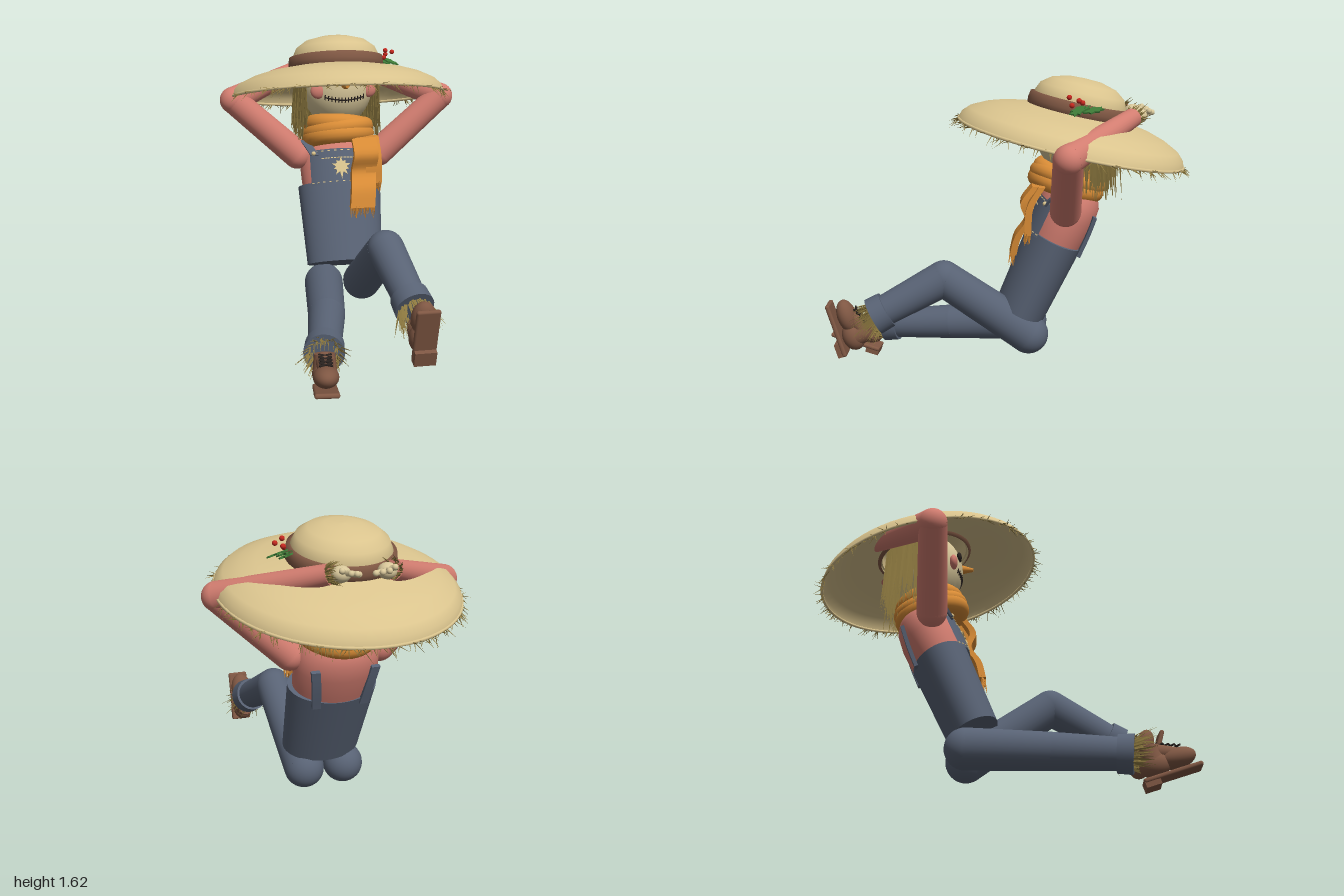
import * as THREE from 'three';
import { RoundedBoxGeometry } from 'three/addons/geometries/RoundedBoxGeometry.js';

const mat = (name, color, side = THREE.FrontSide) => {
  const m = new THREE.MeshStandardMaterial({ color, side });
  m.name = name;
  return m;
};
const V = (x, y, z) => new THREE.Vector3(x, y, z);

export function createModel() {
  const M = {
    hat: mat('hat tan', 0xd9c38d, THREE.DoubleSide), cloth: mat('sack cream', 0xd8c79a),
    shirt: mat('salmon', 0xd27d70), denim: mat('denim', 0x586274, THREE.DoubleSide),
    scarf: mat('scarf orange', 0xd98c36), brown: mat('leather brown', 0x7f5743),
    straw: mat('straw', 0x8c783f, THREE.DoubleSide), dark: mat('black', 0x2a2320),
    green: mat('leaf green', 0x3f7d38, THREE.DoubleSide), red: mat('berry red', 0xc4281f),
  };
  const root = new THREE.Group();
  let seed = 7;
  const rnd = (a = 0, b = 1) => {
    seed = (seed * 16807) % 2147483647;
    return a + (b - a) * seed / 2147483647;
  };

  // Helpers
  const add = (parent, name, geo, material, x = 0, y = 0, z = 0) => {
    const m = new THREE.Mesh(geo, material);
    m.name = name;
    m.position.set(x, y, z);
    parent.add(m);
    return m;
  };
  const group = (parent, name, x = 0, y = 0, z = 0, rx = 0, ry = 0) => {
    const g = new THREE.Group();
    g.name = name;
    g.position.set(x, y, z);
    g.rotation.set(rx, ry, 0, 'YXZ');
    parent.add(g);
    return g;
  };
  const ball = (parent, name, r, material, p, sx = 1, sy = 1, sz = 1) =>
    add(parent, name, new THREE.SphereGeometry(r, 28, 20), material, p.x, p.y, p.z).scale.set(sx, sy, sz);
  const rod = (parent, name, a, b, ra, rb, material, seg = 28) => {
    const d = b.clone().sub(a), c = a.clone().add(b).multiplyScalar(0.5);
    const m = add(parent, name, new THREE.CylinderGeometry(rb, ra, d.length(), seg), material, c.x, c.y, c.z);
    m.quaternion.setFromUnitVectors(V(0, 1, 0), d.normalize());
    return m;
  };
  const lathe = (parent, name, pts, material) =>
    add(parent, name, new THREE.LatheGeometry(pts.map(p => new THREE.Vector2(...p)), 64), material);
  // Flat strip following a path
  const ribbon = (parent, name, pts, w, t, material) => {
    const curve = new THREE.CatmullRomCurve3(pts), geo = new THREE.BoxGeometry(w, 1, t, 4, 18, 1);
    const p = geo.attributes.position;
    for (let i = 0; i < p.count; i++) {
      const c = curve.getPoint(0.5 - p.getY(i));
      p.setXYZ(i, p.getX(i) + c.x, c.y, p.getZ(i) + c.z);
    }
    geo.computeVertexNormals();
    return add(parent, name, geo, material);
  };
  // Many thin three-sided spikes in one mesh
  const strands = (parent, name, list, w, material) => {
    const out = [];
    for (const [a, b] of list) {
      const d = b.clone().sub(a).normalize();
      const u = V(d.y, d.z, d.x).cross(d).normalize().multiplyScalar(w), v = d.clone().cross(u);
      const ring = [0, 1, 2].map(k => a.clone().addScaledVector(u, Math.cos(k * 2.094)).addScaledVector(v, Math.sin(k * 2.094)));
      for (let k = 0; k < 3; k++) out.push(...ring[k].toArray(), ...ring[(k + 1) % 3].toArray(), ...b.toArray());
    }
    const geo = new THREE.BufferGeometry();
    geo.setAttribute('position', new THREE.Float32BufferAttribute(out, 3));
    geo.computeVertexNormals();
    return add(parent, name, geo, material);
  };
  const tuft = (parent, name, c, dir, r, len, n) => {
    const d = dir.clone().normalize(), u = V(0, 1, 0).cross(d).normalize(), v = d.clone().cross(u), list = [];
    for (let i = 0; i < n; i++) {
      const a = rnd(0, 6.283), o = u.clone().multiplyScalar(Math.cos(a)).addScaledVector(v, Math.sin(a));
      const s = c.clone().addScaledVector(o, r * rnd(0.7, 1)), l = len * rnd(0.5, 1.1);
      list.push([s, s.clone().addScaledVector(d, l).addScaledVector(o, l * rnd(-0.2, 0.6))]);
    }
    strands(parent, name, list, 0.005, M.straw);
  };

  // Body, leaning back
  const body = group(root, 'body', 0, 0.39, -0.1, -0.42);
  add(body, 'trousers', new THREE.CylinderGeometry(0.235, 0.21, 0.44, 48), M.denim, 0, 0.2, 0).scale.z = 0.66;
  lathe(body, 'torso', [[0.2, 0.35], [0.212, 0.45], [0.218, 0.56], [0.205, 0.65], [0.15, 0.72], [0.001, 0.75]], M.shirt).scale.z = 0.73;
  const panel = (name, r, y0, y1, mid, half) => {
    const g = new THREE.CylinderGeometry(r, r, y1 - y0, 20, 1, true, mid - half, half * 2);
    add(body, name, g, M.denim, 0, (y0 + y1) / 2, 0).scale.z = 0.735;
  };
  panel('bib', 0.224, 0.4, 0.6, 0, 0.88);
  panel('bibPocket', 0.229, 0.425, 0.555, -0.1, 0.42);
  const stitches = (y, mid, half, r) => {
    for (let i = -5; i <= 5; i++) {
      const a = mid + half * i / 5;
      const m = add(body, 'bibStitch', new THREE.BoxGeometry(0.013, 0.005, 0.004), M.hat, r * Math.sin(a), y, r * 0.735 * Math.cos(a));
      m.rotation.y = a;
    }
  };
  stitches(0.415, 0, 0.82, 0.226);
  stitches(0.59, 0, 0.82, 0.226);
  stitches(0.547, -0.1, 0.38, 0.231);
  // Leaf patch
  const leaf = new THREE.Shape();
  for (let i = 0; i < 20; i++) {
    const a = i * Math.PI / 10 + Math.PI / 2, r = i === 10 ? 0.07 : i % 4 === 0 ? 0.056 : i % 2 ? 0.03 : 0.045;
    leaf[i ? 'lineTo' : 'moveTo'](Math.cos(a) * r, Math.sin(a) * r);
  }
  add(body, 'leafPatch', new THREE.ExtrudeGeometry(leaf, { depth: 0.006, bevelEnabled: false }), M.hat, -0.01, 0.495, 0.168);
  for (const s of [-1, 1]) {
    ribbon(body, 'frontStrap', [V(s * 0.2, 0.67, 0.09), V(s * 0.18, 0.63, 0.12), V(s * 0.15, 0.57, 0.135)], 0.045, 0.012, M.denim);
    ball(body, 'strapButton', 0.012, M.hat, V(s * 0.155, 0.58, 0.14));
    ribbon(body, 'backStrap', [V(s * 0.155, 0.62, -0.125), V(s * 0.14, 0.52, -0.135), V(s * 0.125, 0.39, -0.14)], 0.045, 0.02, M.denim);
  }

  // Head and face
  const H = V(0, 1.33, -0.36), R = V(0.2, 0.22, 0.2);
  ball(root, 'head', 1, M.cloth, H, R.x, R.y, R.z);
  const face = (x, y, off = 0) => V(x, y, H.z + off + R.z * Math.sqrt(Math.max(0, 1 - ((x - H.x) / R.x) ** 2 - ((y - H.y) / R.y) ** 2)));
  for (const s of [-1, 1]) {
    ball(root, 'buttonEye', 0.03, M.dark, face(0.016 + s * 0.088, 1.385), 1, 1, 0.5);
    ball(root, 'cheek', 0.042, M.shirt, face(0.016 + s * 0.143, 1.322, -0.003), 1, 1, 0.55);
  }
  rod(root, 'nose', face(0.017, 1.36, -0.01), face(0.017, 1.358, 0.06), 0.027, 0.01, M.scarf);
  const mouthY = x => 1.275 + 1.2 * x * x, smile = [];
  for (let i = -6; i <= 6; i++) {
    const x = i * 0.018;
    smile.push(face(x + 0.016, mouthY(x), 0.002));
    rod(root, 'mouthStitch', face(x + 0.016, mouthY(x) - 0.014, 0.003), face(x + 0.016, mouthY(x) + 0.014, 0.003), 0.003, 0.003, M.dark, 6);
  }
  add(root, 'mouth', new THREE.TubeGeometry(new THREE.CatmullRomCurve3(smile), 24, 0.004, 6), M.dark);

  // Straw hair round the sides and back
  const hair = [];
  for (const s of [-1, 1]) for (let i = 0; i < 230; i++) {
    const a = rnd(-0.45, 1.3), r = rnd(0.2, 0.235), r2 = r + rnd(-0.02, 0.035);
    hair.push([V(s * r * Math.cos(a), rnd(1.36, 1.43), -0.36 - r * Math.sin(a)),
      V(s * r2 * Math.cos(a + rnd(-0.1, 0.1)), rnd(0.98, 1.13), -0.36 - r2 * Math.sin(a))]);
  }
  strands(root, 'strawHair', hair, 0.011, M.straw);

  // Scarf
  const scarf = group(root, 'scarf', 0, 1.075, -0.33, -0.27);
  for (const [y, r, t, tilt] of [[-0.025, 0.155, 0.052, 0.05], [0.035, 0.145, 0.05, -0.08], [0.01, 0.16, 0.046, 0.12]]) {
    const m = add(scarf, 'scarfWrap', new THREE.TorusGeometry(r, t, 16, 48), M.scarf, 0, y, 0);
    m.rotation.set(Math.PI / 2, tilt, 0);
  }
  const tail = (name, pts, w) => {
    ribbon(root, name, pts, w, 0.035, M.scarf);
    const e = pts[pts.length - 1], list = [];
    for (let i = 0; i < 16; i++) {
      const p = V(e.x + w * (i / 15 - 0.5) * 0.95, e.y + 0.01, e.z + rnd(-0.012, 0.012));
      list.push([p, p.clone().add(V(rnd(-0.01, 0.01), rnd(-0.08, -0.055), rnd(-0.005, 0.02)))]);
    }
    strands(root, name + 'Fringe', list, 0.007, M.scarf);
  };
  tail('longTail', [V(0.115, 1.07, -0.16), V(0.12, 0.98, -0.1), V(0.11, 0.89, -0.125), V(0.1, 0.8, -0.07), V(0.09, 0.7, -0.045)], 0.135);
  tail('shortTail', [V(0.16, 1.07, -0.19), V(0.165, 0.96, -0.13), V(0.165, 0.82, -0.12)], 0.09);

  // Hat, tipped back
  const hat = group(root, 'hat', 0, 1.28, -0.345, -0.215);
  lathe(hat, 'brim', [[0.6, 0], [0.588, 0.035], [0.555, 0.068], [0.48, 0.105], [0.4, 0.13], [0.24, 0.16]], M.hat);
  add(hat, 'brimEdge', new THREE.TorusGeometry(0.597, 0.008, 8, 72), M.hat).rotation.x = Math.PI / 2;
  lathe(hat, 'crown', [[0.25, 0.15], [0.243, 0.22], [0.222, 0.267], [0.17, 0.305], [0.09, 0.327], [0.001, 0.332]], M.hat);
  lathe(hat, 'hatBand', [[0.25, 0.14], [0.266, 0.15], [0.268, 0.18], [0.262, 0.215], [0.24, 0.22]], M.brown);
  const fringe = [];
  for (let i = 0; i < 300; i++) {
    const a = rnd(0, 6.283), b = a + rnd(-0.07, 0.07), r = rnd(0.595, 0.65);
    fringe.push([V(0.592 * Math.cos(a), 0, 0.592 * Math.sin(a)), V(r * Math.cos(b), rnd(-0.055, 0.01), r * Math.sin(b))]);
  }
  strands(hat, 'brimFringe', fringe, 0.0035, M.straw);
  // Holly sprig
  const holly = new THREE.Shape();
  for (let i = 0; i < 16; i++) {
    const a = i * Math.PI / 8, r = i % 2 ? 0.7 : 1;
    holly[i ? 'lineTo' : 'moveTo'](Math.cos(a) * r * 0.06, Math.sin(a) * r * 0.035);
  }
  for (const [x, z, ry] of [[0.285, -0.43, 1.2], [0.3, -0.36, -0.5], [0.27, -0.37, 1.9]]) {
    const m = add(root, 'hollyLeaf', new THREE.ExtrudeGeometry(holly, { depth: 0.008, bevelEnabled: false }), M.green, x, 1.465, z);
    m.rotation.set(-Math.PI / 2 + 0.25, 0.3, ry);
  }
  for (const p of [V(0.27, 1.53, -0.316), V(0.318, 1.518, -0.36), V(0.285, 1.505, -0.38), V(0.265, 1.49, -0.33)])
    ball(root, 'berry', 0.013, M.red, p);

  // Arms folded behind the head
  for (const s of [-1, 1]) {
    const arm = group(root, s > 0 ? 'leftArm' : 'rightArm');
    const sh = V(s * 0.235, 0.955, -0.31), el = V(s * 0.585, 1.272, -0.295), wr = V(s * 0.155, 1.42, -0.645);
    ball(arm, 'shoulder', 0.08, M.shirt, sh);
    rod(arm, 'upperArm', sh, el, 0.08, 0.072, M.shirt);
    ball(arm, 'elbow', 0.073, M.shirt, el);
    rod(arm, 'forearm', el, wr, 0.073, 0.048, M.shirt);
    tuft(arm, 'wristStraw', wr, wr.clone().sub(el), 0.045, 0.06, 50);
    ball(arm, 'palm', 0.045, M.cloth, V(s * 0.11, 1.425, -0.68), 1, 0.85, 1);
    for (const [x, y, z] of [[0.09, 1.44, -0.75], [0.06, 1.435, -0.745], [0.04, 1.425, -0.715], [0.125, 1.45, -0.73]]) {
      rod(arm, 'finger', V(s * 0.1, 1.43, -0.69), V(s * x, y, z), 0.015, 0.013, M.cloth, 12);
      ball(arm, 'fingertip', 0.0145, M.cloth, V(s * x, y, z));
    }
  }

  // Legs: one bent, one stretched out
  const leg = (name, hip, knee, end, ankle, tilt, turn) => {
    const g = group(root, name), d = end.clone().sub(knee).normalize();
    ball(g, 'hip', 0.107, M.denim, hip);
    rod(g, 'thigh', hip, knee, 0.107, 0.096, M.denim);
    ball(g, 'knee', 0.096, M.denim, knee);
    rod(g, 'shin', knee, end, 0.096, 0.08, M.denim);
    const cuffStart = end.clone().addScaledVector(d, -0.065), cuffEnd = end.clone().addScaledVector(d, 0.015);
    rod(g, 'cuff', cuffStart, cuffEnd, 0.096, 0.1, M.denim);
    tuft(g, 'ankleStraw', end, ankle.clone().sub(end).normalize().add(d), 0.075, 0.13, 130);
    const shoe = group(g, 'shoe', ankle.x, ankle.y, ankle.z, tilt, turn);
    rod(shoe, 'shoeShaft', V(0, -0.07, -0.015), V(0, 0.015, -0.01), 0.058, 0.05, M.brown);
    ball(shoe, 'shoeHeel', 1, M.brown, V(0, -0.078, -0.015), 0.06, 0.06, 0.078);
    ball(shoe, 'shoeToe', 1, M.brown, V(0, -0.077, 0.1), 0.06, 0.05, 0.09);
    rod(shoe, 'tongue', V(0, -0.015, 0), V(0, -0.055, 0.1), 0.044, 0.034, M.brown);
    add(shoe, 'sole', new RoundedBoxGeometry(0.115, 0.024, 0.295, 2, 0.011), M.brown, 0, -0.147, 0.048);
    add(shoe, 'heelBlock', new THREE.BoxGeometry(0.105, 0.045, 0.075), M.brown, 0, -0.16, -0.06);
    for (let i = 0; i < 4; i++) for (const s of [-1, 1]) {
      const y = 0.026 - i * 0.01, z = 0.025 + i * 0.026;
      rod(shoe, 'lace', V(-s * 0.03, y - 0.01, z), V(s * 0.03, y - 0.02, z + 0.026), 0.005, 0.005, M.dark, 6);
    }
  };
  leg('leftLeg', V(0.105, 0.25, -0.13), V(0.14, 0.57, 0.32), V(0.2, 0.385, 0.675), V(0.207, 0.31, 0.725), -1.28, 0);
  leg('rightLeg', V(-0.115, 0.25, -0.13), V(-0.165, 0.222, 0.3), V(-0.235, 0.185, 0.675), V(-0.248, 0.203, 0.775), -0.29, -0.1);

  return root;
}
